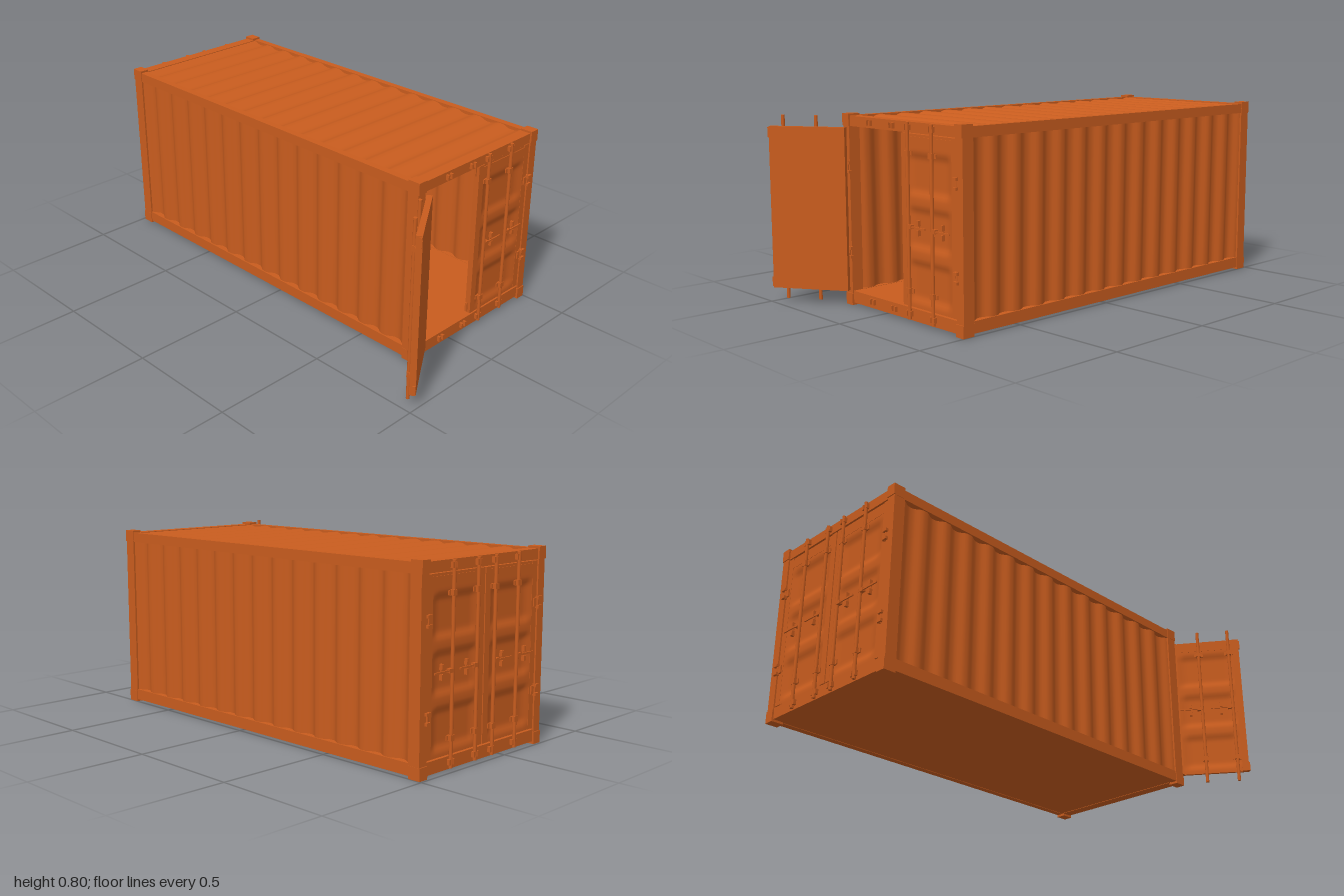
import * as THREE from 'three';

const material = new THREE.MeshStandardMaterial({ color: 0xc85c1e });
const sheet = new THREE.MeshStandardMaterial({ color: 0xc85c1e, side: THREE.DoubleSide });
const HX = 0.892, HZ = 0.375, H = 0.8; // half length, half width, height
const DOOR_W = 0.33, DOOR_Y0 = 0.065, DOOR_Y1 = 0.745;

function add(parent, name, geometry, x = 0, y = 0, z = 0, mat = material) {
  const mesh = new THREE.Mesh(geometry, mat);
  mesh.name = name;
  mesh.position.set(x, y, z);
  parent.add(mesh);
  return mesh;
}

function box(parent, name, w, h, d, x, y, z) {
  return add(parent, name, new THREE.BoxGeometry(w, h, d), x, y, z);
}

// Sheet with rounded trapezoid ribs running along its height
function corrugated(length, height, ribs, depth) {
  const g = new THREE.PlaneGeometry(length, height, ribs * 10, 1);
  const p = g.attributes.position;
  for (let i = 0; i < p.count; i++) {
    const wave = Math.cos((p.getX(i) / length + 0.5) * ribs * Math.PI * 2);
    p.setZ(i, THREE.MathUtils.clamp(wave * 1.4, -1, 1) * depth / 2);
  }
  g.computeVertexNormals();
  return g;
}

// Door skin with three soft pressed recesses, facing +x
function pressedPanel(w, h, depth) {
  const g = new THREE.PlaneGeometry(w, h, 16, 60);
  const p = g.attributes.position;
  const step = THREE.MathUtils.smoothstep;
  for (let i = 0; i < p.count; i++) {
    const t = ((p.getY(i) / h + 0.5) * 3) % 1;
    const side = step(w / 2 - Math.abs(p.getX(i)), 0.005, 0.03);
    const row = step(Math.min(t, 1 - t), 0.06, 0.24);
    p.setZ(i, -depth * side * row);
  }
  g.computeVertexNormals();
  return g.rotateY(Math.PI / 2);
}

// Door with its hinge edge at z = 0, reaching towards -s z, outside facing +x
function makeDoor(name, s) {
  const door = new THREE.Group();
  door.name = name;
  const at = d => -s * d;
  const midY = (DOOR_Y0 + DOOR_Y1) / 2, h = DOOR_Y1 - DOOR_Y0;
  box(door, 'doorBacking', 0.013, h, DOOR_W, -0.0185, midY, at(DOOR_W / 2));
  for (const d of [0.015, DOOR_W - 0.015]) box(door, 'doorStile', 0.012, h, 0.03, -0.006, midY, at(d));
  box(door, 'doorTopBand', 0.012, 0.04, DOOR_W - 0.06, -0.006, 0.715, at(DOOR_W / 2));
  box(door, 'doorTopLip', 0.009, 0.01, DOOR_W - 0.06, -0.0075, 0.74, at(DOOR_W / 2));
  add(door, 'doorPressedPanel', pressedPanel(DOOR_W - 0.06, 0.63, 0.0105), -0.001, 0.38, at(DOOR_W / 2), sheet);

  // Locking rods with guides, handles and catches
  for (const d of [0.135, 0.28]) {
    add(door, 'lockingRod', new THREE.CylinderGeometry(0.0075, 0.0075, 0.775, 12), 0.009, 0.4025, at(d));
    for (const y of [0.13, 0.67]) {
      box(door, 'rodGuidePlate', 0.005, 0.018, 0.042, 0.002, y, at(d));
      box(door, 'rodGuide', 0.018, 0.022, 0.022, 0.008, y, at(d));
    }
    box(door, 'handleHub', 0.016, 0.016, 0.024, 0.009, 0.385, at(d - 0.012));
    box(door, 'handle', 0.005, 0.007, 0.105, 0.012, 0.385, at(d - 0.0525));
    box(door, 'handleCatch', 0.014, 0.022, 0.012, 0.004, 0.403, at(d - 0.055));
    box(door, 'handleCatch', 0.014, 0.022, 0.012, 0.004, 0.365, at(d - 0.055));
    box(door, 'handleCatchPlate', 0.004, 0.06, 0.008, 0.001, 0.385, at(d - 0.055));
  }
  // Hinge leaves and free-edge stops
  for (const y of [0.225, 0.58]) {
    box(door, 'hingeLeaf', 0.006, 0.034, 0.02, 0.003, y, at(0.012));
    add(door, 'hingePin', new THREE.CylinderGeometry(0.006, 0.006, 0.05, 10), 0.004, y, at(0));
  }
  for (const y of [0.09, 0.72]) box(door, 'doorEdgeStop', 0.01, 0.04, 0.008, -0.018, y, at(DOOR_W + 0.002));
  return door;
}

// One end frame with two doors, facing +x
function makeEnd(name, openAngle) {
  const end = new THREE.Group();
  end.name = name;
  box(end, 'doorSill', 0.05, 0.05, 0.67, HX - 0.033, 0.035, 0);
  box(end, 'doorHeader', 0.05, 0.042, 0.67, HX - 0.033, 0.77, 0);
  for (const s of [1, -1]) {
    box(end, 'cornerPost', 0.052, 0.71, 0.04, HX - 0.03, 0.4, s * 0.354);
    for (const y of [0.025, H - 0.025]) box(end, 'cornerFitting', 0.055, 0.05, 0.043, HX - 0.0275, y, s * (HZ - 0.0215));
    for (const y of [0.225, 0.58]) {
      for (const dy of [-0.018, 0.018]) box(end, 'hingeLug', 0.016, 0.012, 0.022, HX - 0.001, y + dy, s * 0.336);
    }
    // Rod keepers on sill and header
    for (const z of [0.05, 0.195]) {
      for (const y of [0.038, 0.77]) {
        for (const dz of [-0.011, 0.011]) box(end, 'rodKeeper', 0.016, 0.022, 0.009, HX - 0.003, y, s * z + dz);
      }
    }
    const door = makeDoor(s > 0 ? 'leftDoor' : 'rightDoor', s);
    const open = s > 0 && openAngle !== 0;
    door.position.set(open ? 0.897 : HX - 0.01, 0, s * (open ? 0.34 : 0.333));
    if (open) door.rotation.y = openAngle;
    end.add(door);
  }
  return end;
}

export function createModel() {
  const model = new THREE.Group();
  model.name = 'shippingContainer';
  const body = new THREE.Group();
  body.name = 'body';
  body.position.set(-0.1, 0, -0.125);
  model.add(body);

  box(body, 'floor', 1.74, 0.045, 0.72, 0, 0.0345, 0);

  // Side rails and corrugated walls
  for (const s of [1, -1]) {
    box(body, 'bottomRail', 1.68, 0.048, 0.03, 0, 0.034, s * (HZ - 0.018));
    box(body, 'topRail', 1.68, 0.042, 0.03, 0, 0.77, s * (HZ - 0.018));
    const wall = add(body, 'sideWall', corrugated(1.69, 0.71, 14, 0.02), 0, 0.405, s * (HZ - 0.019), sheet);
    if (s < 0) wall.rotation.y = Math.PI;
  }

  // Corrugated roof, ribs running across
  const roof = add(body, 'roof', corrugated(1.69, 0.7, 14, 0.012), 0, 0.782, 0, sheet);
  roof.rotation.x = -Math.PI / 2;

  // One end with a door swung open, the other fully closed
  body.add(makeEnd('openEnd', -2.548));
  const closed = makeEnd('closedEnd', 0);
  closed.rotation.y = Math.PI;
  body.add(closed);
  return model;
}
